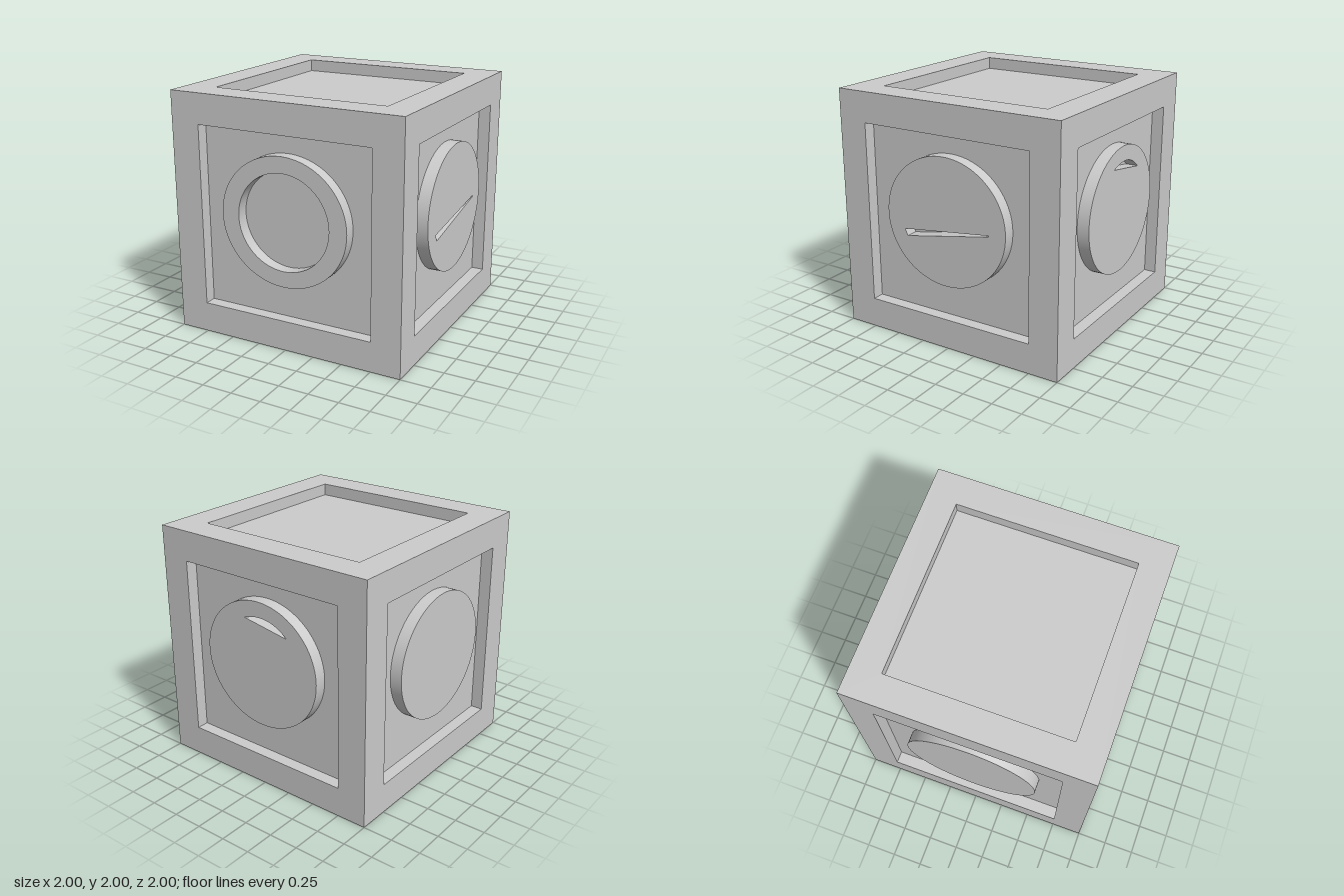
import * as THREE from 'three';
import { mergeGeometries, toCreasedNormals } from 'three/addons/utils/BufferGeometryUtils.js';

const HALF = 1, INNER = 0.75, DEPTH = 0.1, FLOOR = HALF - DEPTH;
const DISC_Y = 0.065;
const material = new THREE.MeshStandardMaterial({ color: 0xcccccc });

function named(name, geometry) {
  const mesh = new THREE.Mesh(geometry, material);
  mesh.name = name;
  return mesh;
}

function polygon(points, Type = THREE.Path) {
  return new Type(points.map(([x, y]) => new THREE.Vector2(x, y)));
}

const square = (s) => [[-s, -s], [s, -s], [s, s], [-s, s]];

// One cube face: flat border, four recess walls and the sunken panel
function faceGeometry() {
  const border = polygon(square(HALF), THREE.Shape);
  border.holes.push(polygon(square(INNER)));
  const parts = [
    new THREE.ShapeGeometry(border).translate(0, 0, HALF),
    new THREE.PlaneGeometry(2 * INNER, 2 * INNER).translate(0, 0, FLOOR),
  ];
  for (let i = 0; i < 4; i++) {
    parts.push(new THREE.PlaneGeometry(2 * INNER, DEPTH)
      .rotateX(-Math.PI / 2)
      .translate(0, -INNER, HALF - DEPTH / 2)
      .rotateZ(i * Math.PI / 2));
  }
  return mergeGeometries(parts);
}

// Slightly oval raised disc with an optional cut-out
function discGeometry(hole) {
  const shape = new THREE.Shape();
  shape.absellipse(0, DISC_Y, 0.55, 0.525, 0, Math.PI * 2);
  if (hole) shape.holes.push(hole);
  const geometry = new THREE.ExtrudeGeometry(shape, {
    depth: DEPTH, bevelEnabled: false, curveSegments: 48,
  }).translate(0, 0, FLOOR);
  return toCreasedNormals(geometry, 0.6);
}

// Cut-outs in each face's own coordinates
function roundHole() {
  const path = new THREE.Path();
  path.absellipse(0, DISC_Y, 0.4, 0.393, 0, Math.PI * 2);
  return path;
}

function taperedSlit() {
  return polygon([[-0.39, -0.055], [-0.365, -0.11], [0.4, 0.035], [0.4, 0.045]]);
}

function crescentSlit() {
  const path = new THREE.Path();
  path.moveTo(-0.15, 0.43);
  path.quadraticCurveTo(0.09, 0.52, 0.27, 0.36);
  path.closePath();
  return path;
}

export function createModel() {
  const model = new THREE.Group();
  model.name = 'panelledCube';
  const quarter = Math.PI / 2;
  const face = faceGeometry();

  // Four upright sides, each with its disc
  const sides = [
    ['front', roundHole()],
    ['right', taperedSlit()],
    ['back', crescentSlit()],
    ['left', null],
  ];
  sides.forEach(([name, hole], i) => {
    const side = new THREE.Group();
    side.name = name + 'Side';
    side.add(named(name + 'Panel', face), named(name + 'Disc', discGeometry(hole)));
    side.rotation.y = i * quarter;
    side.position.y = HALF;
    model.add(side);
  });

  // Plain top and bottom
  [['topPanel', -quarter], ['bottomPanel', quarter]].forEach(([name, angle]) => {
    const panel = named(name, face);
    panel.rotation.x = angle;
    panel.position.y = HALF;
    model.add(panel);
  });

  return model;
}
